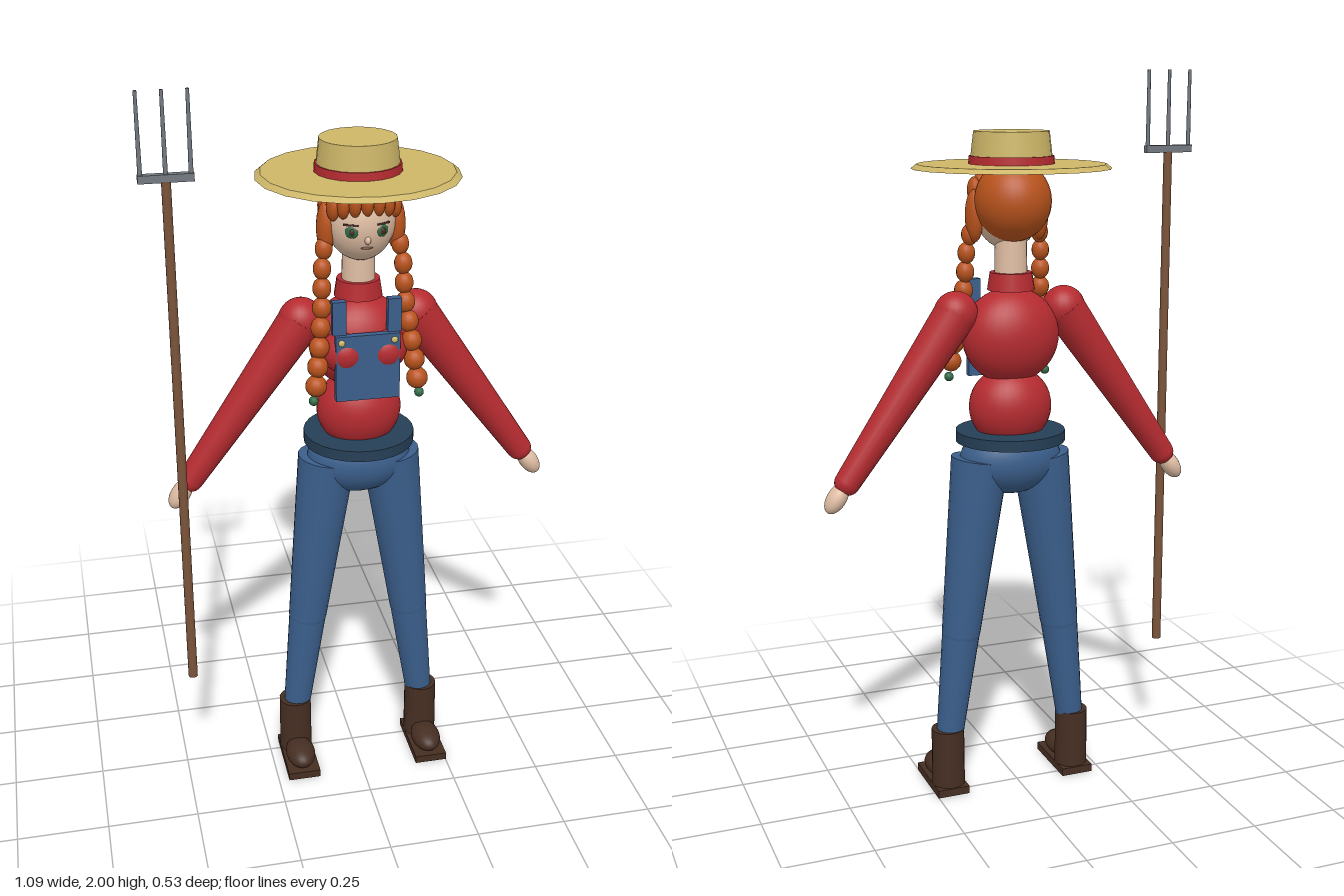
import * as THREE from 'three';

const mat = (name, color) => {
  const m = new THREE.MeshStandardMaterial({ color });
  m.name = name;
  return m;
};

export function createModel() {
  const skin = mat('skin', 0xe0bea4), hair = mat('copper hair', 0xb9531c), red = mat('red shirt', 0xb52b30);
  const denim = mat('denim', 0x3b5f8c), navy = mat('dark belt', 0x263f56), straw = mat('straw', 0xcdb668);
  const boot = mat('boot leather', 0x462e22), wood = mat('wood', 0x7a543a), metal = mat('grey metal', 0x727980);
  const green = mat('green', 0x2f6b45);

  const model = new THREE.Group();
  model.name = 'farmer';
  const body = new THREE.Group();
  body.name = 'figure';
  body.position.x = 0.015;
  model.add(body);

  const add = (name, geo, m, p, parent = body) => {
    const mesh = new THREE.Mesh(geo, m);
    mesh.name = name;
    mesh.position.set(...p);
    parent.add(mesh);
    return mesh;
  };
  const ball = (name, m, p, r, seg = 24) => {
    const mesh = add(name, new THREE.SphereGeometry(1, seg, Math.round(seg * 0.7)), m, p);
    mesh.scale.set(...r);
    return mesh;
  };
  const box = (name, m, p, s, parent) => add(name, new THREE.BoxGeometry(...s), m, p, parent);
  const drum = (name, m, p, rTop, rBottom, h, seg = 20, parent = body) =>
    add(name, new THREE.CylinderGeometry(rTop, rBottom, h, seg), m, p, parent);
  // Tapered limb running from point a down to point b
  const limb = (name, m, a, b, ra, rb) => {
    const va = new THREE.Vector3(...a), vb = new THREE.Vector3(...b);
    const dir = va.clone().sub(vb);
    const mesh = drum(name, m, va.clone().add(vb).multiplyScalar(0.5).toArray(), ra, rb, dir.length());
    mesh.quaternion.setFromUnitVectors(new THREE.Vector3(0, 1, 0), dir.normalize());
    return mesh;
  };

  // Hat
  drum('hatBrim', straw, [0, 1.755, 0], 0.25, 0.265, 0.012);
  drum('hatCrown', straw, [0, 1.803, 0], 0.1, 0.11, 0.085);
  drum('hatBand', red, [0, 1.771, 0], 0.112, 0.114, 0.022);

  // Head, neck and hair
  ball('head', skin, [0, 1.642, 0.03], [0.09, 0.107, 0.09], 32);
  ball('hairBack', hair, [0, 1.665, -0.01], [0.102, 0.107, 0.105], 32);
  drum('neck', skin, [0, 1.51, 0.006], 0.042, 0.045, 0.13);
  ball('nose', skin, [0, 1.61, 0.115], [0.008, 0.011, 0.012], 12);
  const mouth = ball('mouth', wood, [0, 1.588, 0.106], [0.016, 0.004, 0.005], 12);
  mouth.rotation.x = 0.4;
  for (let i = -3; i <= 3; i++) {
    const a = i * 0.31;
    ball('fringeCurl', hair, [0.1 * Math.sin(a), 1.705 - 0.0018 * i * i, 0.02 + 0.085 * Math.cos(a)],
      [0.017, 0.036, 0.028], 16);
  }

  // Torso
  drum('collar', red, [0, 1.453, 0.005], 0.057, 0.064, 0.047);
  ball('chest', red, [0, 1.305, 0.008], [0.135, 0.13, 0.1], 32);
  ball('waist', red, [0, 1.11, 0.012], [0.115, 0.11, 0.096], 32);
  drum('belt', navy, [0, 1.03, 0.012], 0.15, 0.15, 0.03, 28);
  ball('hips', denim, [0, 0.965, 0.012], [0.143, 0.1, 0.1], 32);
  box('bib', denim, [0, 1.27, 0.117], [0.17, 0.18, 0.02]);

  // Centre lines of the braid, for one side
  const braid = new THREE.CatmullRomCurve3([
    [0.1, 1.575, 0.05], [0.108, 1.51, 0.062], [0.109, 1.445, 0.068], [0.12, 1.35, 0.092], [0.135, 1.225, 0.113],
  ].map((p) => new THREE.Vector3(...p)));

  for (const s of [1, -1]) {
    const side = s > 0 ? 'left' : 'right';

    // Face details
    const eye = ball(side + 'Eye', green, [s * 0.039, 1.632, 0.106], [0.018, 0.017, 0.008], 16);
    eye.rotation.y = s * 0.42;
    ball(side + 'Pupil', boot, [s * 0.039, 1.632, 0.113], [0.008, 0.009, 0.004], 12);
    const lash = box(side + 'Lash', boot, [s * 0.041, 1.65, 0.106], [0.038, 0.005, 0.008]);
    lash.rotation.y = s * 0.45;

    // Side lock, braid and tie
    ball(side + 'Lock', hair, [s * 0.092, 1.625, 0.035], [0.024, 0.07, 0.034], 16);
    for (let i = 0; i < 8; i++) {
      const p = braid.getPointAt(i / 7);
      const r = 0.023 + 0.0008 * i;
      ball(side + 'BraidBead', hair, [s * p.x, p.y, p.z], [r, 0.029, r], 16);
    }
    ball(side + 'HairTie', green, [s * 0.142, 1.182, 0.111], [0.013, 0.013, 0.013], 12);

    // Bib fittings
    box(side + 'Strap', denim, [s * 0.073, 1.405, 0.103], [0.036, 0.09, 0.022]);
    ball(side + 'Bust', red, [s * 0.055, 1.302, 0.075], [0.06, 0.058, 0.06]);
    ball(side + 'Button', straw, [s * 0.07, 1.343, 0.128], [0.009, 0.009, 0.006], 12);

    // Arm
    ball(side + 'Shoulder', red, [s * 0.155, 1.372, 0.01], [0.06, 0.06, 0.057]);
    limb(side + 'Sleeve', red, [s * 0.155, 1.372, 0.01], [s * 0.463, 0.938, 0.01], 0.058, 0.035);
    ball(side + 'Cuff', red, [s * 0.463, 0.938, 0.01], [0.035, 0.035, 0.035]);
    const hand = ball(side + 'Hand', skin, [s * 0.493, 0.897, 0.012], [0.026, 0.046, 0.031]);
    hand.rotation.z = s * 0.6;

    // Leg
    limb(side + 'Thigh', denim, [s * 0.088, 0.97, 0.012], [s * 0.148, 0.475, 0.012], 0.08, 0.054);
    ball(side + 'Knee', denim, [s * 0.148, 0.475, 0.012], [0.054, 0.05, 0.054]);
    limb(side + 'Shin', denim, [s * 0.148, 0.475, 0.012], [s * 0.184, 0.17, 0.013], 0.053, 0.038);

    // Boot
    drum(side + 'BootShaft', boot, [s * 0.19, 0.102, 0.014], 0.046, 0.047, 0.172);
    ball(side + 'BootToe', boot, [s * 0.19, 0.045, 0.09], [0.042, 0.032, 0.066]);
    box(side + 'BootSole', boot, [s * 0.19, 0.011, 0.061], [0.092, 0.022, 0.195]);
  }

  // Pitchfork
  const fork = new THREE.Group();
  fork.name = 'pitchfork';
  fork.position.set(-0.476, 0, 0.068);
  model.add(fork);
  drum('forkShaft', wood, [0, 1.062, 0], 0.012, 0.013, 1.435, 14, fork);
  box('forkCrossbar', metal, [0, 1.787, 0], [0.138, 0.02, 0.02], fork);
  for (const x of [-0.062, 0, 0.062]) drum('forkTine', metal, [x, 1.895, 0], 0.0045, 0.006, 0.21, 10, fork);

  return model;
}
